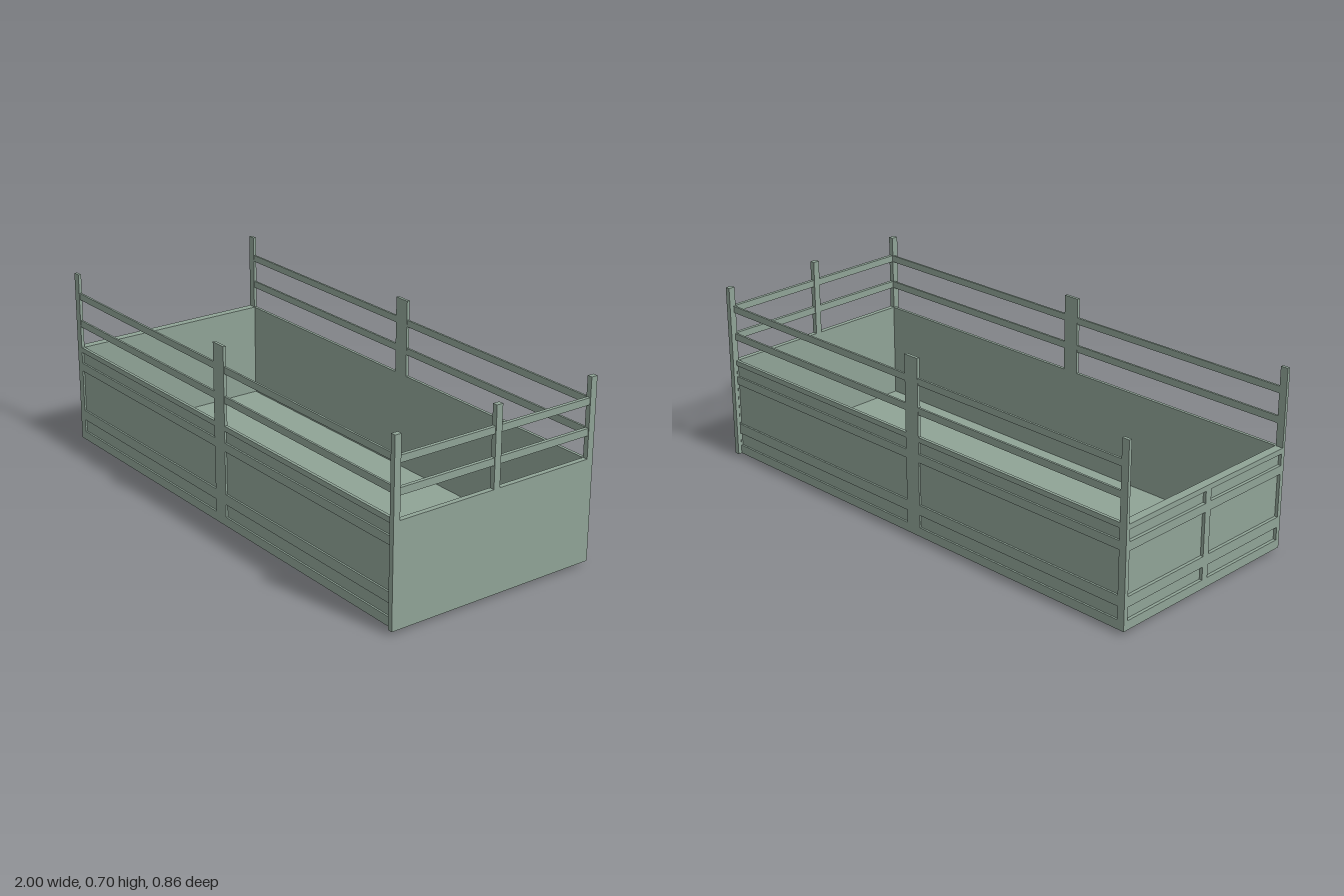
import * as THREE from 'three';

const paint = new THREE.MeshStandardMaterial({ color: 0x8fa396 });
paint.name = 'grey green paint';

const BASE = 0.015, RIM = 0.405, TOP = 0.703;
const SIDE = 0.417;    // outer face of the long walls
const SIDE_IN = 0.405; // inner face of the long walls
const ROWS = [[0.05, 0.1], [0.14, 0.307], [0.34, 0.385]]; // recessed panel rows
const RAILS = [[0.49, 0.517], [0.602, 0.628]];

// Box given by its minimum and maximum on each axis
function box(name, x0, x1, y0, y1, z0, z1) {
  const mesh = new THREE.Mesh(new THREE.BoxGeometry(x1 - x0, y1 - y0, z1 - z0), paint);
  mesh.position.set((x0 + x1) / 2, (y0 + y1) / 2, (z0 + z1) / 2);
  mesh.name = name;
  return mesh;
}

function rect(path, x0, x1, y0, y1) {
  path.moveTo(x0, y0);
  path.lineTo(x1, y0);
  path.lineTo(x1, y1);
  path.lineTo(x0, y1);
  path.closePath();
  return path;
}

// Flat frame with rows of openings; the wall behind turns them into recesses
function frame(name, x0, x1, columns, depth) {
  const shape = rect(new THREE.Shape(), x0, x1, BASE, RIM);
  for (const [a, b] of columns)
    for (const [y0, y1] of ROWS) shape.holes.push(rect(new THREE.Path(), a, b, y0, y1));
  const geometry = new THREE.ExtrudeGeometry(shape, { depth, bevelEnabled: false });
  const mesh = new THREE.Mesh(geometry, paint);
  mesh.name = name;
  return mesh;
}

export function createModel() {
  const model = new THREE.Group();
  model.name = 'cargoBed';

  model.add(box('floor', -0.988, 0.98, BASE, 0.03, -SIDE_IN, SIDE_IN));

  // Long walls with posts and rails
  for (const s of [1, -1]) {
    const wall = new THREE.Group();
    wall.name = s > 0 ? 'frontSideWall' : 'backSideWall';
    const slab = (name, x0, x1, y0, y1, a, b) =>
      wall.add(box(name, x0, x1, y0, y1, Math.min(s * a, s * b), Math.max(s * a, s * b)));
    const depth = 0.007;
    const panels = frame('sideFrame', -1, 0.98, [[-0.97, -0.036], [0.028, 0.979]], depth);
    panels.position.z = s > 0 ? SIDE - depth : -SIDE;
    wall.add(panels);
    slab('sidePanel', -1, 0.98, BASE, RIM, SIDE_IN, SIDE - depth);
    slab('cornerPost', -1, -0.97, RIM, TOP, SIDE_IN, SIDE);
    slab('middlePost', -0.036, 0.028, RIM, TOP, SIDE_IN, SIDE);
    for (const [y0, y1] of RAILS) {
      slab('sideRail', -0.97, -0.036, y0, y1, 0.407, 0.415);
      slab('sideRail', 0.028, 0.98, y0, y1, 0.407, 0.415);
    }
    model.add(wall);
  }

  // Plain end wall with its rack
  const headboard = new THREE.Group();
  headboard.name = 'headboard';
  headboard.add(box('headboardPanel', 0.98, 1, BASE, RIM, -0.432, 0.432));
  for (const z of [-0.419, 0, 0.419])
    headboard.add(box('headboardPost', 0.98, 1, RIM, TOP, z - 0.013, z + 0.013));
  for (const [y0, y1] of RAILS)
    for (const s of [-1, 1])
      headboard.add(box('headboardRail', 0.983, 0.997, y0, y1, s < 0 ? -0.406 : 0.013, s < 0 ? -0.013 : 0.406));
  model.add(headboard);

  // Panelled end wall without a rack
  const tailgate = new THREE.Group();
  tailgate.name = 'tailgate';
  const tailFrame = frame('tailgateFrame', -SIDE_IN, SIDE_IN, [[-0.4, -0.014], [0.014, 0.4]], 0.012);
  tailFrame.rotation.y = -Math.PI / 2;
  tailFrame.position.x = -0.988;
  tailgate.add(tailFrame, box('tailgatePanel', -0.988, -0.967, BASE, RIM, -SIDE_IN, SIDE_IN));
  model.add(tailgate);

  // Small mounting studs under the floor
  for (const x of [-0.885, -0.69, -0.305])
    for (const z of [-0.19, -0.16, 0.151, 0.183])
      model.add(box('mountingStud', x - 0.006, x + 0.006, 0, 0.008, z - 0.005, z + 0.005));

  return model;
}
